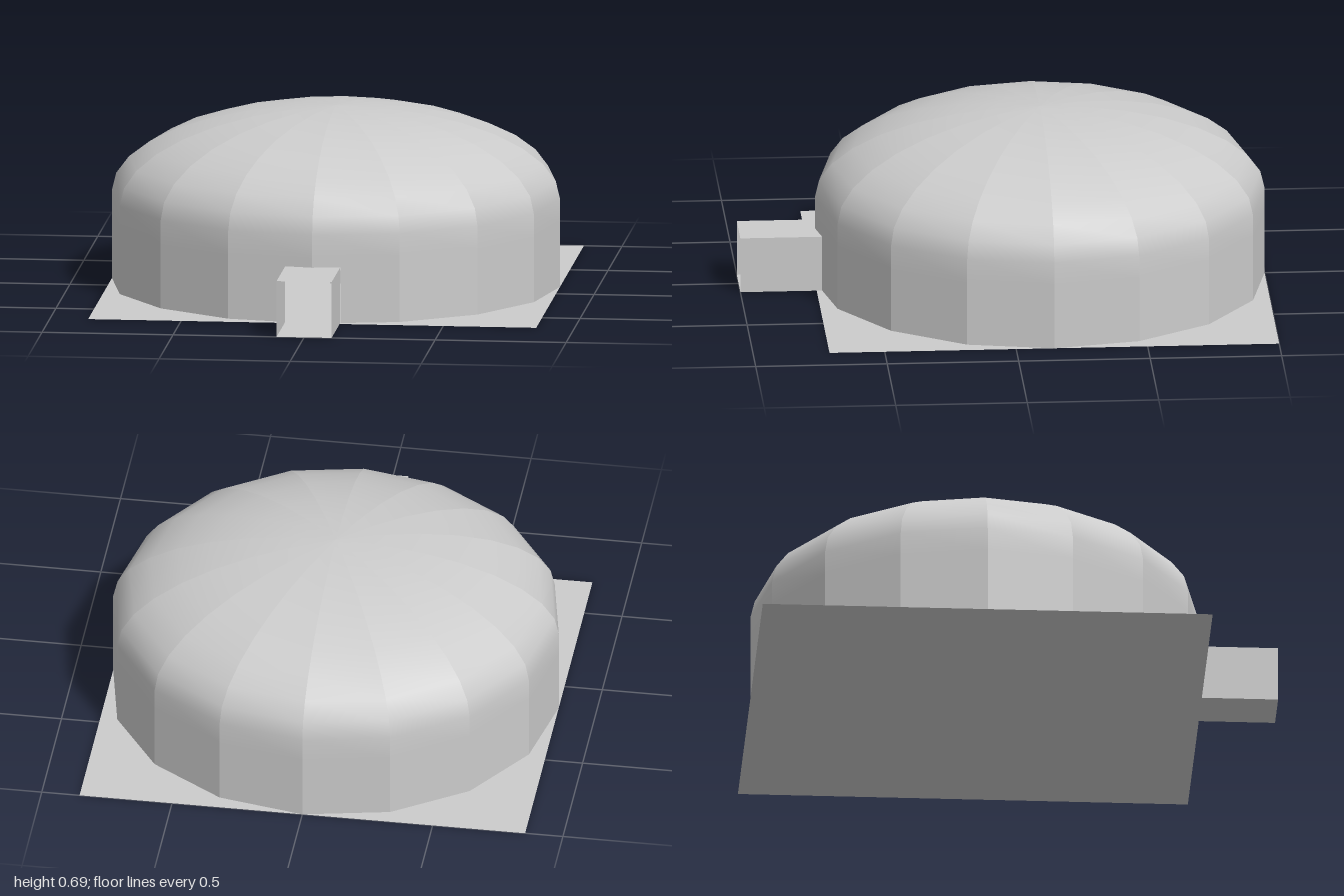
import * as THREE from 'three';
import { mergeGeometries } from 'three/addons/utils/BufferGeometryUtils.js';

const SIDES = 16, STEP = (Math.PI * 2) / SIDES;
const R = 0.855, CENTRE_Z = -0.145;
const SPRING = 0.34, RISE = 0.345, PANEL_TOP = 0.25;
const DOOR_W = 0.21, DOOR_H = 0.215;

const material = new THREE.MeshStandardMaterial({ color: 0xcccccc, side: THREE.DoubleSide });

function add(parent, name, geometry, x = 0, y = 0, z = 0) {
  const mesh = new THREE.Mesh(geometry, material);
  mesh.name = name;
  mesh.position.set(x, y, z);
  parent.add(mesh);
  return mesh;
}

// Flat wall panel; door = -1 / +1 cuts half a doorway at that edge
function wallPanel(index, door) {
  const half = R * Math.sin(STEP / 2);
  const cut = DOOR_W / 2 / Math.cos(STEP / 2);
  const points = door
    ? [[half, 0], [half, PANEL_TOP], [-half, PANEL_TOP], [-half, DOOR_H], [cut - half, DOOR_H], [cut - half, 0]]
    : [[half, 0], [half, PANEL_TOP], [-half, PANEL_TOP], [-half, 0]];
  const side = door > 0 ? -1 : 1;
  const shape = new THREE.Shape(points.map(([x, y]) => new THREE.Vector2(x * side, y)));
  const geometry = new THREE.ShapeGeometry(shape);
  geometry.translate(0, 0, R * Math.cos(STEP / 2));
  geometry.rotateY((index + 0.5) * STEP);
  return geometry;
}

// One gore of the roof: smooth from bottom to top, creased at its sides
function roofGore(index) {
  const profile = [new THREE.Vector2(R, PANEL_TOP)];
  for (let i = 0; i <= 8; i++) {
    const a = (i / 8) * Math.PI / 2;
    profile.push(new THREE.Vector2(i === 8 ? 0 : R * Math.cos(a), SPRING + RISE * Math.sin(a)));
  }
  const geometry = new THREE.LatheGeometry(profile, 1, index * STEP, STEP);
  geometry.computeVertexNormals();
  return geometry;
}

export function createModel() {
  const model = new THREE.Group();
  model.name = 'domeHouse';

  // Round wall and domed roof
  const panels = [], gores = [];
  for (let i = 0; i < SIDES; i++) {
    panels.push(wallPanel(i, i === 0 ? -1 : i === SIDES - 1 ? 1 : 0));
    gores.push(roofGore(i));
  }
  add(model, 'wall', mergeGeometries(panels), 0, 0, CENTRE_Z);
  add(model, 'domeRoof', mergeGeometries(gores), 0, 0, CENTRE_Z);

  // Square ground sheet
  add(model, 'groundSheet', new THREE.PlaneGeometry(2 * R, 2 * R).rotateX(-Math.PI / 2), 0, 0, CENTRE_Z);

  // Open entrance tunnel
  const tunnel = new THREE.Group();
  tunnel.name = 'entranceTunnel';
  model.add(tunnel);
  const back = 0.69, length = 1 - back, mid = (1 + back) / 2;
  add(tunnel, 'tunnelRoof', new THREE.PlaneGeometry(DOOR_W, length).rotateX(-Math.PI / 2), 0, DOOR_H, mid);
  add(tunnel, 'tunnelFloor', new THREE.PlaneGeometry(DOOR_W, 0.29).rotateX(-Math.PI / 2), 0, 0, 0.855);
  for (const s of [-1, 1]) {
    add(tunnel, s > 0 ? 'tunnelLeftSide' : 'tunnelRightSide',
      new THREE.PlaneGeometry(length, DOOR_H).rotateY(s * Math.PI / 2), s * DOOR_W / 2, DOOR_H / 2, mid);
  }

  // Low furniture inside: a small block between two benches
  add(model, 'hearthBlock', new THREE.BoxGeometry(0.04, 0.05, 0.04), 0, 0.025, CENTRE_Z);
  for (const s of [-1, 1]) {
    add(model, s > 0 ? 'leftBench' : 'rightBench',
      new THREE.BoxGeometry(0.2, 0.1, 0.3), s * 0.12, 0.05, CENTRE_Z - 0.3);
  }
  return model;
}
